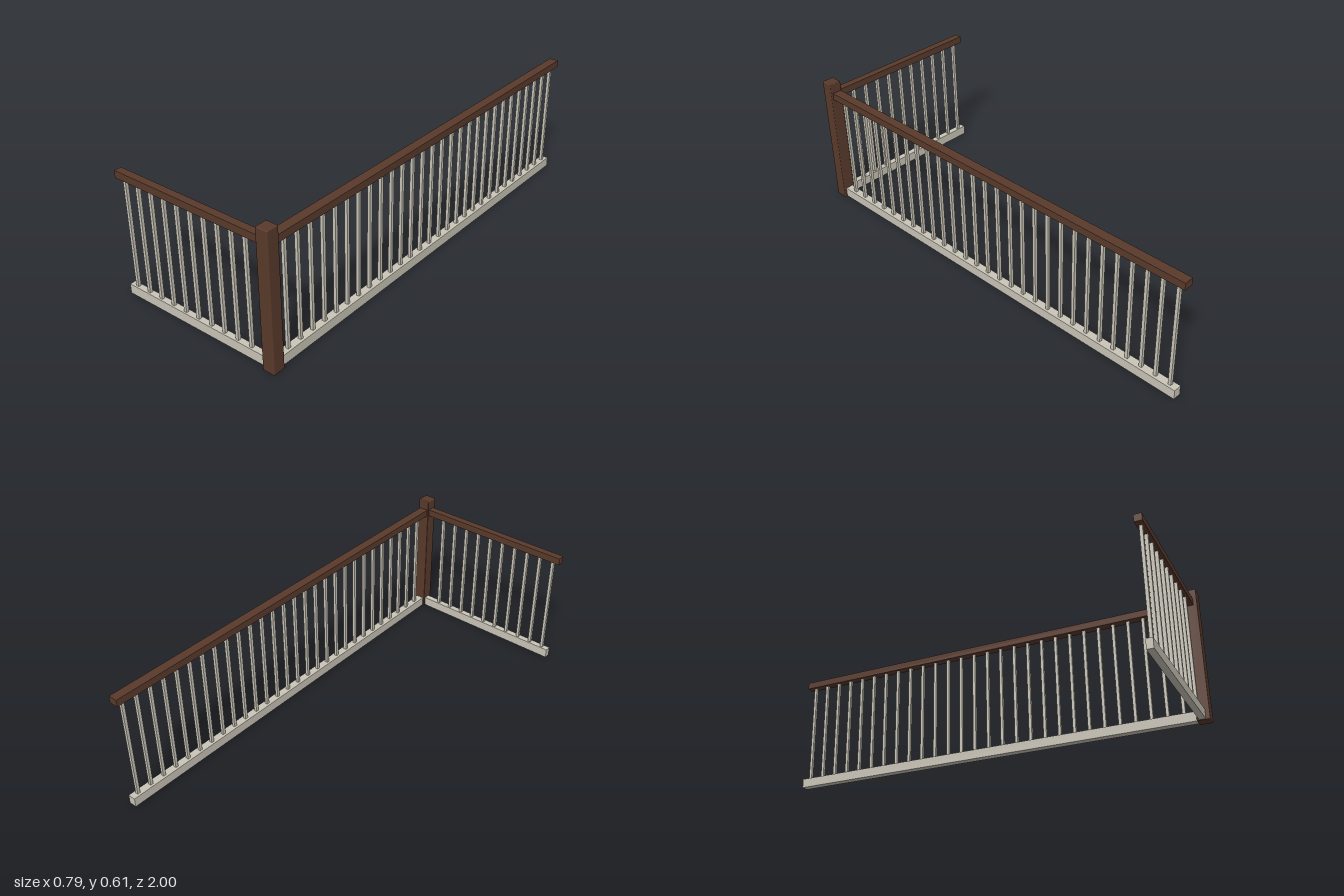
import * as THREE from 'three';
import { RoundedBoxGeometry } from 'three/addons/geometries/RoundedBoxGeometry.js';

export function createModel() {
  const model = new THREE.Group();
  model.name = 'cornerRailing';

  const darkWood = new THREE.MeshStandardMaterial({ color: 0x5a3a2b });
  darkWood.name = 'dark wood';
  const paint = new THREE.MeshStandardMaterial({ color: 0xcac5b8 });
  paint.name = 'cream paint';

  // Box given by its extents on each axis
  function addBox(parent, name, material, [x0, x1], [y0, y1], [z0, z1]) {
    const mesh = new THREE.Mesh(new THREE.BoxGeometry(x1 - x0, y1 - y0, z1 - z0), material);
    mesh.position.set((x0 + x1) / 2, (y0 + y1) / 2, (z0 + z1) / 2);
    mesh.name = name;
    parent.add(mesh);
  }
  const around = (centre, width) => [centre - width / 2, centre + width / 2];

  const railY = [0.528, 0.56];
  const baseY = [0.003, 0.046];
  const balusterY = [0.045, 0.529];
  const pitch = 0.0687;
  const thickness = 0.0135;
  const cornerX = 0.368;
  const cornerZ = 0.969;

  // Corner newel post with softened edges
  const post = new THREE.Mesh(new RoundedBoxGeometry(0.056, 0.605, 0.056, 2, 0.004), darkWood);
  post.position.set(cornerX, 0.3025, 0.972);
  post.name = 'newelPost';
  model.add(post);

  // Short run along x
  const front = new THREE.Group();
  front.name = 'frontRailing';
  addBox(front, 'frontHandrail', darkWood, [-0.398, 0.345], railY, around(cornerZ - 0.001, 0.033));
  addBox(front, 'frontBase', paint, [-0.394, 0.345], baseY, around(cornerZ - 0.001, 0.028));
  for (let i = 0; i < 10; i++) {
    addBox(front, 'frontBaluster', paint,
      around(-0.359 + i * pitch, thickness), balusterY, around(cornerZ - 0.001, thickness));
  }
  model.add(front);

  // Long run along z
  const side = new THREE.Group();
  side.name = 'sideRailing';
  addBox(side, 'sideHandrail', darkWood, around(cornerX - 0.002, 0.042), railY, [-1, 0.95]);
  addBox(side, 'sideBase', paint, around(cornerX - 0.002, 0.036), baseY, [-0.998, 0.95]);
  for (let i = 0; i < 28; i++) {
    addBox(side, 'sideBaluster', paint,
      around(cornerX - 0.002, thickness), balusterY, around(-0.964 + i * pitch, thickness));
  }
  model.add(side);

  return model;
}
